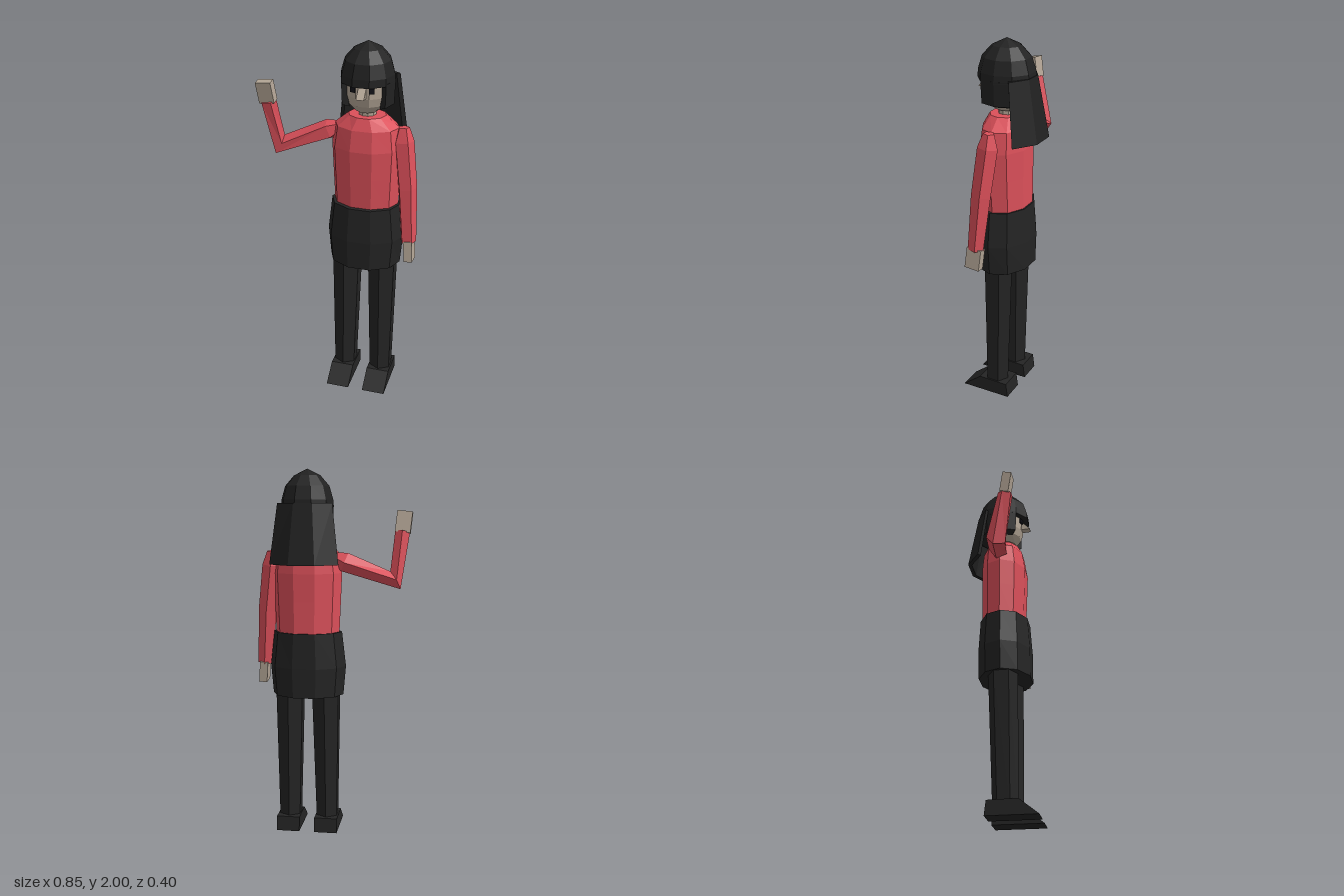
import * as THREE from 'three';

const CX = 0.133; // body axis; the raised arm shifts the body off centre
const V = (x, y, z) => new THREE.Vector3(x, y, z);

function mat(name, color) {
  const m = new THREE.MeshStandardMaterial({ color });
  m.name = name;
  return m;
}

// Skins a list of equal-sized rings with flat facets and closes both ends.
function loft(rings) {
  const pos = [];
  const tri = (...p) => p.forEach((q) => pos.push(q.x, q.y, q.z));
  const n = rings[0].length;
  for (let k = 0; k < rings.length - 1; k++) {
    const a = rings[k], b = rings[k + 1];
    for (let i = 0; i < n; i++) {
      const j = (i + 1) % n;
      tri(a[i], b[i], b[j]);
      tri(a[i], b[j], a[j]);
    }
  }
  const first = rings[0], last = rings[rings.length - 1];
  for (let i = 1; i < n - 1; i++) {
    tri(first[0], first[i], first[i + 1]);
    tri(last[0], last[i + 1], last[i]);
  }
  const g = new THREE.BufferGeometry();
  g.setAttribute('position', new THREE.Float32BufferAttribute(pos, 3));
  g.computeVertexNormals();
  return g;
}

// Horizontal polygon ring
function ring(x, y, z, rx, rz, n = 10, phase = 0) {
  return Array.from({ length: n }, (_, i) => {
    const a = phase + (i / n) * Math.PI * 2;
    return V(x + rx * Math.cos(a), y, z + rz * Math.sin(a));
  });
}

// Five-sided limb through [x, y, z, radius] stations, mitred at the joints
function limb(stations) {
  const pts = stations.map((s) => V(s[0], s[1], s[2]));
  const step = (i) => pts[i + 1].clone().sub(pts[i]).normalize();
  return loft(pts.map((p, i) => {
    const d = V(0, 0, 0);
    if (i > 0) d.add(step(i - 1));
    if (i < pts.length - 1) d.add(step(i));
    d.normalize();
    const u = V(0, 0, 1).addScaledVector(d, -d.z).normalize();
    const v = u.clone().cross(d);
    return Array.from({ length: 5 }, (_, k) => {
      const a = Math.PI + (k / 5) * Math.PI * 2, r = stations[i][3];
      return p.clone().addScaledVector(u, r * Math.cos(a)).addScaledVector(v, r * Math.sin(a));
    });
  }));
}

// Side profile of [z, y] points swept across x
function wedge(x, half, profile) {
  return loft([x + half, x - half].map((px) => profile.map(([z, y]) => V(px, y, z))));
}

export function createModel() {
  const group = new THREE.Group();
  const red = mat('red shirt', 0xdc505a);
  const skin = mat('skin', 0xb5a797);
  const dark = mat('dark clothes', 0x242424);
  const hair = mat('black hair', 0x212121);
  const eyeMat = mat('eye', 0x14141a);
  const add = (name, geometry, material) => {
    const m = new THREE.Mesh(geometry, material);
    m.name = name;
    group.add(m);
    return m;
  };
  // Stack of body rings from [y, rx, rz, z]
  const stack = (rows) => loft(rows.map(([y, rx, rz, z = 0]) => ring(CX, y, z, rx, rz)));

  // Torso and skirt
  add('torso', stack([
    [1.1, 0.174, 0.123, -0.002], [1.3, 0.182, 0.128, 0.002], [1.45, 0.188, 0.132, 0.004],
    [1.56, 0.172, 0.118], [1.62, 0.1, 0.085, 0.002],
  ]), red);
  add('skirt', stack([
    [0.78, 0.196, 0.15, 0.008], [0.94, 0.21, 0.152, 0.007], [1.13, 0.188, 0.14, 0.006],
  ]), dark);

  // Legs and wedge shoes
  for (const s of [-1, 1]) {
    const side = s > 0 ? 'left' : 'right';
    add(side + 'Leg', loft([
      ring(CX + s * 0.105, 0.06, 0.018, 0.065, 0.067, 6, Math.PI / 2),
      ring(CX + s * 0.1, 0.8, 0.0075, 0.084, 0.083, 6, Math.PI / 2),
    ]), dark);
    add(side + 'Shoe', wedge(CX + s * 0.106, 0.064,
      [[-0.08, 0], [-0.07, 0.08], [0.095, 0.083], [0.2, 0]]), dark);
  }

  // Hanging left arm
  add('leftArm', limb([
    [0.325, 1.565, 0, 0.03], [0.328, 1.49, 0.005, 0.055],
    [0.36, 1.24, 0.03, 0.053], [0.382, 0.94, 0.056, 0.043],
  ]), red);
  const leftHand = add('leftHand', new THREE.BoxGeometry(0.045, 0.115, 0.083), skin);
  leftHand.position.set(0.39, 0.893, 0.06);
  leftHand.rotation.set(-0.1, 0, 0.08);

  // Raised right arm
  add('rightArm', limb([
    [-0.015, 1.535, 0, 0.03], [-0.07, 1.51, 0, 0.055],
    [-0.338, 1.41, 0.037, 0.058], [-0.373, 1.67, 0.09, 0.042],
  ]), red);
  const rightHand = add('rightHand', new THREE.BoxGeometry(0.083, 0.115, 0.048), skin);
  rightHand.position.set(-0.379, 1.72, 0.097);
  rightHand.rotation.set(0.17, 0, 0.1);

  // Neck and head
  add('neck', stack([[1.6, 0.046, 0.046], [1.68, 0.046, 0.046]]), skin);
  add('head', stack([
    [1.645, 0.06, 0.07], [1.685, 0.1, 0.1], [1.73, 0.114, 0.112], [1.82, 0.116, 0.116],
  ]), skin);
  add('nose', wedge(CX, 0.02, [[0.1, 1.738], [0.1, 1.8], [0.157, 1.742]]), skin);
  for (const s of [-1, 1]) {
    const eye = add(s > 0 ? 'leftEye' : 'rightEye', new THREE.BoxGeometry(0.026, 0.026, 0.009), eyeMat);
    eye.position.set(CX + s * 0.048, 1.777, 0.109);
    eye.rotation.y = s * 0.3;
  }

  // Domed hair with a straight fringe
  add('hairDome', stack([
    [1.8, 0.143, 0.152], [1.84, 0.14, 0.149], [1.91, 0.12, 0.127],
    [1.965, 0.072, 0.076], [2, 0.002, 0.002],
  ]), hair);

  // Hair around the sides and back, open at the face
  add('sideHair', loft(Array.from({ length: 8 }, (_, i) => {
    const a = ((36 - 36 * i) * Math.PI) / 180;
    const at = (r, y) => V(CX + r * Math.cos(a), y, r * 1.05 * Math.sin(a));
    return [at(0.138, 1.685), at(0.143, 1.81), at(0.114, 1.81), at(0.098, 1.67)];
  })), hair);

  // Long hair flaring down the back: [top x, top z, bottom x, bottom z]
  const columns = [[0.147, -0.085, 0.185, -0.123], [0.05, -0.147, 0.07, -0.203]];
  const mirrored = columns.map(([a, b, c, d]) => [-a, b, -c, d]).reverse();
  add('longHair', loft([...columns, ...mirrored].map(([tx, tz, bx, bz]) => [
    V(CX + bx, 1.5, bz), V(CX + tx, 1.82, tz),
    V(CX + tx * 0.88, 1.82, tz * 0.88), V(CX + bx * 0.88, 1.5, bz * 0.9),
  ])), hair);

  return group;
}
